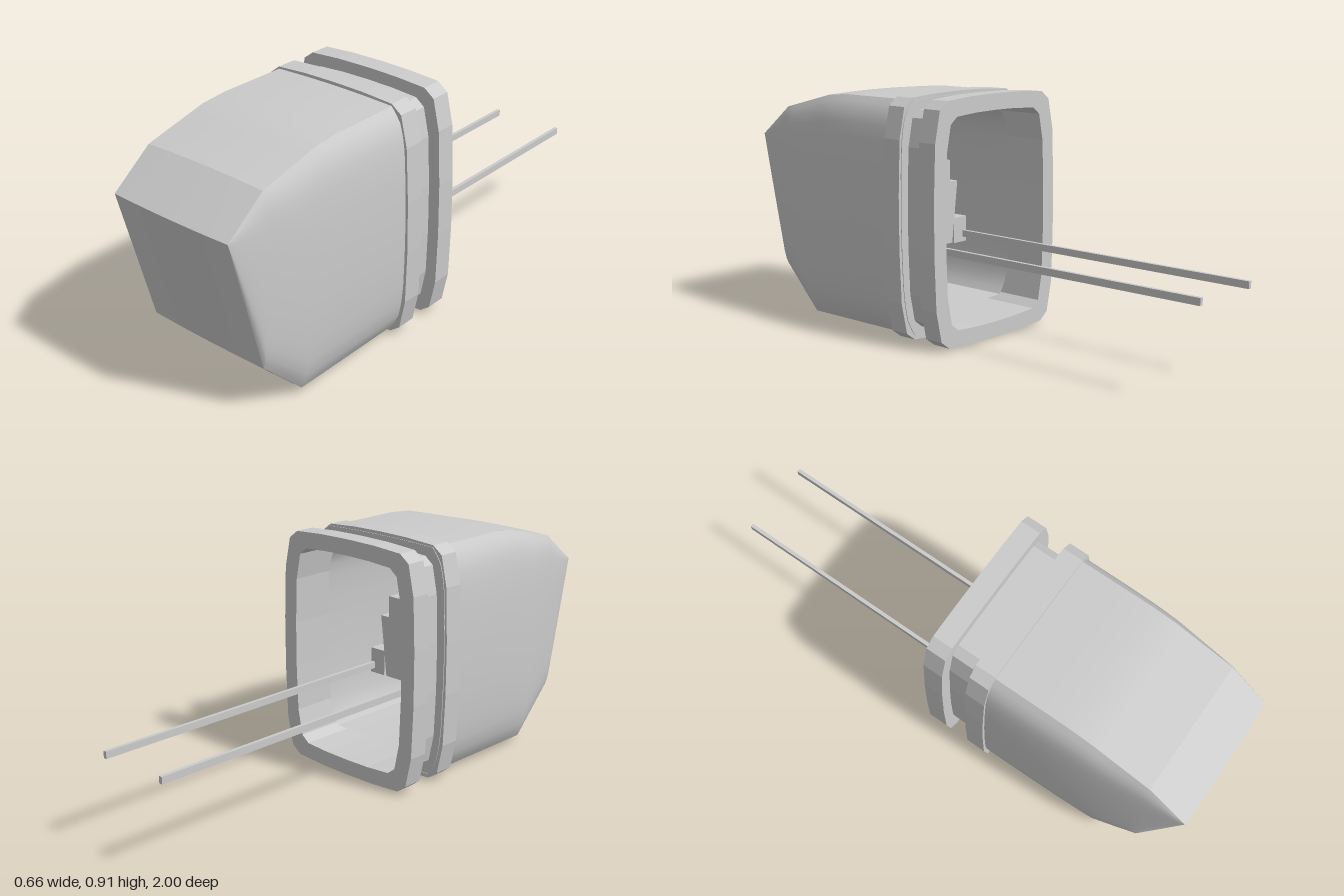
import * as THREE from 'three';
import { toCreasedNormals } from 'three/addons/utils/BufferGeometryUtils.js';

const material = new THREE.MeshStandardMaterial({ color: 0xcccccc, side: THREE.DoubleSide });
const MID = 0.455; // height of the housing's axis
const EDGE = 0.255; // half width of the middle strip
const TIP = 0.994;

// Side profile of the housing as [z, y] points
const TOP = [[0.15, 0.892], [0.5, 0.892], [0.6, 0.883], [0.84, 0.823], [TIP, 0.705]];
const BOTTOM = [[0.15, 0.026], [0.7, 0.024], [0.872, 0.197], [TIP, 0.705]];
// Sideways bulge of the cheeks as [height fraction, bulge fraction]
const CHEEK = [[0, 0], [0.03, 0.28], [0.075, 0.58], [0.14, 0.76], [0.22, 0.88], [0.36, 0.96], [0.53, 1],
  [0.7, 0.96], [0.83, 0.88], [0.89, 0.76], [0.94, 0.58], [0.975, 0.28], [1, 0]];

function sample(points, z) {
  let i = 0;
  while (i < points.length - 2 && z > points[i + 1][0]) i++;
  const [a, b] = [points[i], points[i + 1]];
  return a[1] + (b[1] - a[1]) * (z - a[0]) / (b[0] - a[0]);
}

// Loft of closed rings from the collar to the nose
function housingGeometry() {
  const stations = [0.15, 0.3, 0.4, 0.5, 0.55, 0.6, 0.65, 0.7, 0.75, 0.8, 0.84, 0.872,
    0.89, 0.91, 0.93, 0.95, 0.965, 0.98, TIP];
  const positions = [], indices = [];
  const steps = 10;
  let count = 0;
  for (const z of stations) {
    const y0 = sample(BOTTOM, z), y1 = sample(TOP, z);
    const bulge = 0.064 * (1 - Math.pow((z - 0.15) / (TIP - 0.15), 3));
    const fade = Math.min(1, (TIP - z) / 0.12);
    const ring = [];
    const strip = (dir, y) => {
      for (let i = 0; i < steps; i++) {
        const u = dir * (-1 + 2 * i / steps);
        const crown = 0.006 * (1 - u * u);
        ring.push([u * EDGE, y - dir * crown * fade, z + crown * (1 - fade)]);
      }
    };
    const cheek = (side) => {
      for (let i = 0; i < CHEEK.length - 1; i++) {
        const [t, f] = CHEEK[side > 0 ? i : CHEEK.length - 1 - i];
        ring.push([side * (EDGE + bulge * f), y0 + (y1 - y0) * t, z]);
      }
    };
    strip(1, y0);
    cheek(1);
    strip(-1, y1);
    cheek(-1);
    count = ring.length;
    positions.push(...ring.flat());
  }
  for (let s = 0; s < stations.length - 1; s++) {
    for (let i = 0; i < count; i++) {
      const a = s * count + i, b = s * count + (i + 1) % count;
      indices.push(a, b, b + count, a, b + count, a + count);
    }
  }
  const geometry = new THREE.BufferGeometry();
  geometry.setAttribute('position', new THREE.Float32BufferAttribute(positions, 3));
  geometry.setIndex(indices);
  return toCreasedNormals(geometry, 0.4);
}

// Faceted, slightly bowed collar outline, shrunk by an inset
function outline(inset) {
  const quarter = [[0, 0.455], [0.13, 0.453], [0.255, 0.445], [0.295, 0.415], [0.32, 0.3], [0.328, 0.1]];
  const sx = 1 - inset / 0.328, sy = 1 - inset / 0.455;
  const right = [...quarter, ...quarter.map(([x, y]) => [x, -y]).reverse()];
  const left = right.slice(1, -1).map(([x, y]) => [-x, y]).reverse();
  return [...right, ...left].map(([x, y]) => new THREE.Vector2(x * sx, MID + y * sy));
}

function collar(outer, z0, z1) {
  const shape = new THREE.Shape(outline(outer));
  shape.holes.push(new THREE.Path(outline(0.06)));
  const geometry = new THREE.ExtrudeGeometry(shape, { depth: z1 - z0, bevelEnabled: false });
  geometry.translate(0, 0, z0);
  return geometry;
}

export function createModel() {
  const group = new THREE.Group();
  const add = (name, geometry, x = 0, y = 0, z = 0) => {
    const mesh = new THREE.Mesh(geometry, material);
    mesh.name = name;
    mesh.position.set(x, y, z);
    group.add(mesh);
    return mesh;
  };

  // Outer shell and the cavity wall inside it
  const housing = housingGeometry();
  add('housing', housing);
  const k = 0.84;
  add('cavityLining', housing.clone().scale(k, k, k), 0, MID * (1 - k), 0.15 * (1 - k));

  // Two flanges with a seal groove between them
  add('rearFlange', collar(0, -0.022, 0.055));
  add('grooveRing', collar(0.045, 0.055, 0.153));
  add('frontFlange', collar(0, 0.153, 0.23));

  // Bulb holder: tapered plate with a block on top
  const plate = new THREE.Shape();
  plate.moveTo(-0.06, 0.31);
  plate.lineTo(0.06, 0.31);
  plate.lineTo(0.09, 0.55);
  plate.lineTo(-0.09, 0.55);
  add('holderPlate', new THREE.ExtrudeGeometry(plate, { depth: 0.05, bevelEnabled: false }), 0, 0, 0.26);
  add('holderBlock', new THREE.BoxGeometry(0.09, 0.09, 0.06), 0, 0.59, 0.285);

  // Terminals and the long contact rods leaving the back
  for (const side of [-1, 1]) {
    add('terminal', new THREE.BoxGeometry(0.07, 0.1, 0.06), side * 0.125, 0.35, 0.31);
    add('contactRod', new THREE.BoxGeometry(0.014, 0.026, 1.3), side * 0.146, 0.332, -0.35);
  }
  return group;
}
